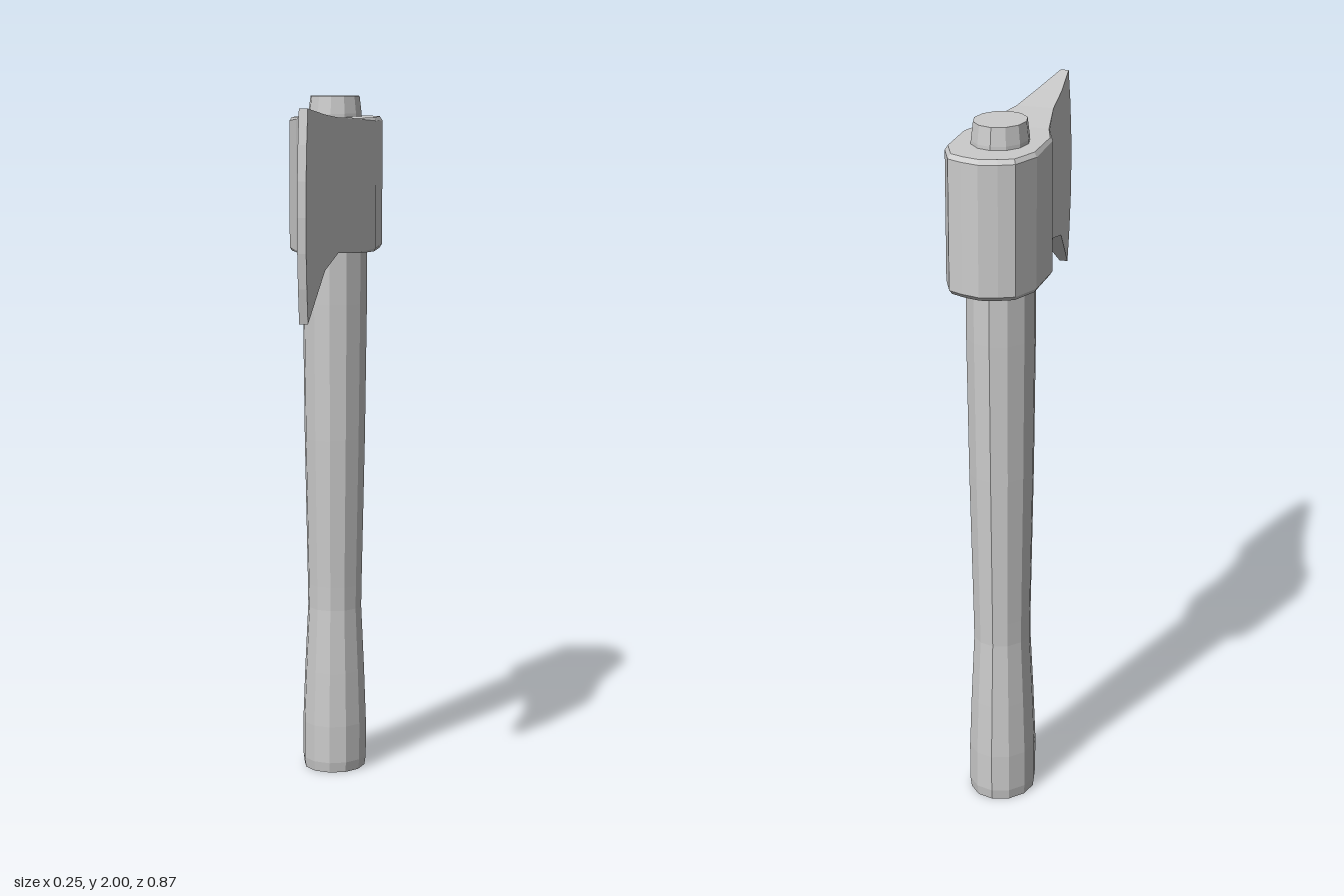
import * as THREE from 'three';

const material = new THREE.MeshStandardMaterial({ color: 0xcccccc, flatShading: true, side: THREE.DoubleSide });

// Oval twelve-sided shaft with a swelling grip and a stub above the head
function createHandle() {
  const profile = [
    [0, 0], [0.091, 0], [0.095, 0.03], [0.095, 0.14], [0.089, 0.3], [0.08, 0.49], [0.081, 0.56],
    [0.09, 1.0], [0.095, 1.4], [0.095, 1.6], [0.079, 1.9], [0.078, 1.95], [0.072, 2], [0, 2],
  ].map(([r, y]) => new THREE.Vector2(r, y));
  const geometry = new THREE.LatheGeometry(profile, 12);
  geometry.scale(1, 1, 1.17);
  const mesh = new THREE.Mesh(geometry, material);
  mesh.name = 'handle';
  mesh.position.set(-0.004, 0, -0.244);
  return mesh;
}

// Head: stations from poll to cutting edge, mirrored across x = 0
function createHead() {
  // z, half width, bottom, top, bevel
  const stations = [
    [-0.433, 0, 1.555, 1.94, 0.012],
    [-0.42, 0.05, 1.555, 1.94, 0.012],
    [-0.4, 0.092, 1.555, 1.94, 0.012],
    [-0.32, 0.126, 1.555, 1.94, 0.012],
    [-0.168, 0.126, 1.555, 1.94, 0.01],
    [-0.088, 0.095, 1.556, 1.94, 0.004],
    [0.095, 0.053, 1.57, 1.945, 0],
    [0.24, 0.036, 1.532, 1.956, 0],
    [0.397, 0.012, 1.4, 1.975, 0],
  ];
  const last = stations.length - 1;
  const loop = [];
  for (let i = 0; i <= last; i++) loop.push([i, 1]);
  for (let i = last; i > 0; i--) loop.push([i, -1]);
  const n = loop.length, levels = 8;
  const positions = [], index = [];

  for (let j = 0; j <= levels; j++) {
    const isRim = j === 0 || j === levels;
    const t = (Math.min(Math.max(j, 1), levels - 1) - 1) / (levels - 2);
    for (const [i, side] of loop) {
      const [z, w, bottom, top, bevel] = stations[i];
      const y = isRim ? (j ? top : bottom) : THREE.MathUtils.lerp(bottom + bevel, top - bevel, t);
      const inset = isRim ? 1 - bevel * 5 : 1;
      // The cutting edge bows forward
      const bow = i === last ? 0.036 * (1 - (2 * t - 1) ** 2) : 0;
      positions.push(side * w * inset, y, -0.244 + (z + 0.244) * inset + bow);
    }
  }
  // Side walls
  for (let j = 0; j < levels; j++) {
    for (let i = 0; i < n; i++) {
      const a = j * n + i, b = j * n + (i + 1) % n;
      index.push(a, b + n, b, a, a + n, b + n);
    }
  }
  // Bottom and top surfaces
  const up = levels * n;
  for (let i = 0; i < last; i++) {
    const r0 = i, r1 = i + 1, l0 = (n - i) % n, l1 = n - i - 1;
    index.push(r0, r1, l1, r0, l1, l0);
    index.push(up + r0, up + l1, up + r1, up + r0, up + l0, up + l1);
  }
  const shape = new THREE.BufferGeometry();
  shape.setAttribute('position', new THREE.Float32BufferAttribute(positions, 3));
  shape.setIndex(index);
  const geometry = shape.toNonIndexed();
  geometry.computeVertexNormals();
  const mesh = new THREE.Mesh(geometry, material);
  mesh.name = 'axeHead';
  return mesh;
}

export function createModel() {
  const group = new THREE.Group();
  group.name = 'axe';
  group.add(createHandle(), createHead());
  return group;
}
